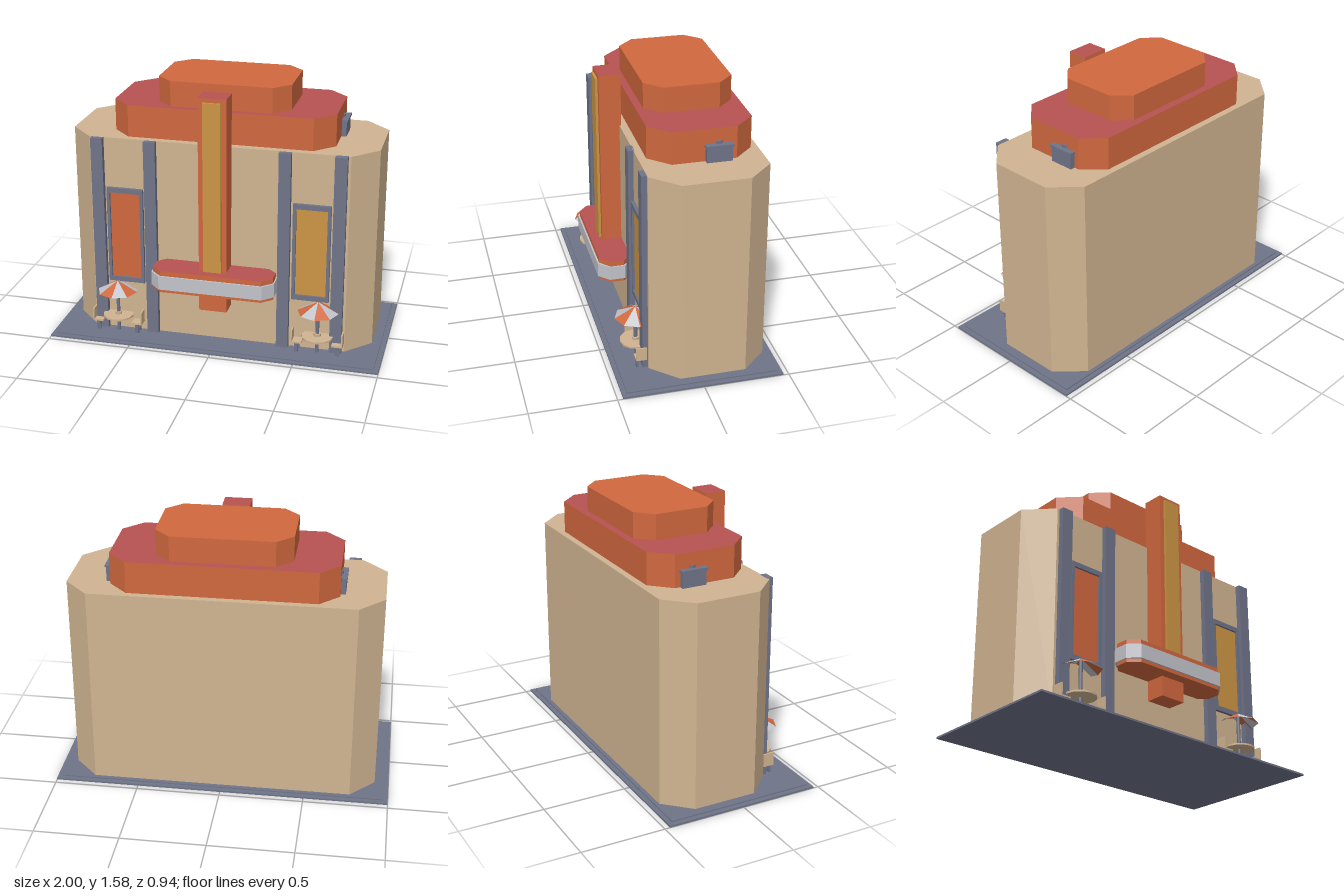
import * as THREE from 'three';

const mat = (name, color, extra = {}) => Object.assign(new THREE.MeshStandardMaterial({ color, ...extra }), { name });

export function createModel() {
  const sand = mat('sand', 0xd0b491);
  const orange = mat('orange', 0xd0683e);
  const red = mat('red', 0xb85252);
  const slate = mat('slate', 0x6f7488);
  const gold = mat('gold', 0xcb9543);
  const silver = mat('silver', 0xc2c4cb);
  const orangeCloth = mat('orange cloth', 0xd0683e, { side: THREE.DoubleSide });
  const silverCloth = mat('silver cloth', 0xc2c4cb, { side: THREE.DoubleSide });

  const root = new THREE.Group();
  root.name = 'theatre';

  const add = (parent, name, geometry, material) => {
    const mesh = new THREE.Mesh(geometry, material);
    mesh.name = name;
    parent.add(mesh);
    return mesh;
  };
  // Box given by its limits on each axis
  const box = (parent, name, [x0, x1], [y0, y1], [z0, z1], material) => {
    const mesh = add(parent, name, new THREE.BoxGeometry(x1 - x0, y1 - y0, z1 - z0), material);
    mesh.position.set((x0 + x1) / 2, (y0 + y1) / 2, (z0 + z1) / 2);
    return mesh;
  };
  const cylinder = (parent, name, rTop, rBottom, y0, y1, sides, material) => {
    const mesh = add(parent, name, new THREE.CylinderGeometry(rTop, rBottom, y1 - y0, sides), material);
    mesh.position.y = (y0 + y1) / 2;
    return mesh;
  };
  // Upright eight-sided block with cut corners; its top may have its own colour
  const block = (name, w, [z0, z1], cutX, cutZ, [y0, y1], side, top = side) => {
    const a = w - cutX, b = z0 + cutZ, c = z1 - cutZ;
    const points = [[-a, z1], [a, z1], [w, c], [w, b], [a, z0], [-a, z0], [-w, b], [-w, c]];
    const shape = new THREE.Shape(points.map(([x, z]) => new THREE.Vector2(x, -z)));
    const geometry = new THREE.ExtrudeGeometry(shape, { depth: y1 - y0, bevelEnabled: false });
    geometry.rotateX(-Math.PI / 2);
    const lids = geometry.groups[0].count;
    const total = geometry.attributes.position.count;
    geometry.clearGroups();
    geometry.addGroup(0, lids / 2, 0);
    geometry.addGroup(lids / 2, lids / 2, 1);
    geometry.addGroup(lids, total - lids, 0);
    add(root, name, geometry, [side, top]).position.y = y0;
  };

  // Pavement
  box(root, 'pavement', [-1, 1], [0, 0.011], [-0.468, 0.468], slate);
  box(root, 'pavementTop', [-0.97, 0.97], [0.011, 0.018], [-0.44, 0.44], slate);

  // Hall and stepped roof
  block('hall', 0.917, [-0.415, 0.268], 0.145, 0.15, [0.018, 1.24], sand);
  block('lowerRoof', 0.66, [-0.375, 0.222], 0.113, 0.115, [1.24, 1.43], orange, red);
  block('upperRoof', 0.394, [-0.33, 0.18], 0.094, 0.093, [1.43, 1.58], orange);

  // Central sign tower
  box(root, 'signTower', [-0.083, 0.083], [0.25, 1.555], [0.258, 0.385],
    [orange, orange, red, orange, orange, orange]);
  box(root, 'signPanel', [-0.053, 0.053], [0.45, 1.53], [0.38, 0.4], gold);

  // Canopy over the entrance
  block('canopy', 0.362, [0.26, 0.45], 0.06, 0.055, [0.37, 0.505], orange, red);
  block('canopyBand', 0.37, [0.25, 0.46], 0.06, 0.06, [0.39, 0.475], silver);

  for (const s of [-1, 1]) {
    const side = s < 0 ? 'right' : 'left';
    const span = (a, b) => (s > 0 ? [a, b] : [-b, -a]);

    // Full-height pilasters
    box(root, side + 'InnerPilaster', span(0.365, 0.436), [0.018, 1.24], [0.26, 0.3], slate);
    box(root, side + 'OuterPilaster', span(0.685, 0.757), [0.018, 1.24], [0.26, 0.3], slate);

    // Poster with raised frame
    const poster = new THREE.Group();
    poster.name = side + 'Poster';
    root.add(poster);
    box(poster, 'posterPanel', span(0.465, 0.657), [0.36, 0.91], [0.266, 0.275], s < 0 ? orange : gold);
    box(poster, 'frameTop', span(0.45, 0.672), [0.905, 0.935], [0.26, 0.288], slate);
    box(poster, 'frameBottom', span(0.45, 0.672), [0.335, 0.365], [0.26, 0.288], slate);
    box(poster, 'frameInnerSide', span(0.45, 0.47), [0.365, 0.905], [0.26, 0.288], slate);
    box(poster, 'frameOuterSide', span(0.653, 0.672), [0.365, 0.905], [0.26, 0.288], slate);

    // Rooftop ventilation unit
    const vent = new THREE.Group();
    vent.name = side + 'RoofVent';
    vent.position.set(s * 0.642, 0, -0.155);
    root.add(vent);
    box(vent, 'ventBody', [-0.047, 0.047], [1.24, 1.328], [-0.073, 0.073], slate);
    box(vent, 'ventCap', [-0.053, 0.053], [1.328, 1.34], [-0.08, 0.08], slate);
    cylinder(vent, 'ventFan', 0.028, 0.028, 1.34, 1.356, 12, slate);

    // Cafe table
    const cafe = new THREE.Group();
    cafe.name = side + 'CafeTable';
    cafe.position.set(s * 0.615, 0, 0.308);
    root.add(cafe);
    cylinder(cafe, 'umbrellaPole', 0.011, 0.011, 0.018, 0.34, 8, slate);
    cylinder(cafe, 'tableTop', 0.093, 0.093, 0.115, 0.126, 12, sand);
    cylinder(cafe, 'poleCollar', 0.022, 0.022, 0.126, 0.142, 8, sand);

    // Umbrella panels in alternating colours
    for (let i = 0; i < 8; i++) {
      const panel = new THREE.ConeGeometry(0.122, 0.065, 1, 1, true, i * Math.PI / 4, Math.PI / 4).toNonIndexed();
      panel.computeVertexNormals();
      const isOrange = (i % 2 === 0) === (s < 0);
      add(cafe, 'umbrellaPanel', panel, isOrange ? silverCloth : orangeCloth).position.y = 0.313;
    }

    // Two chairs facing the table
    for (const d of [-1, 1]) {
      const chair = new THREE.Group();
      chair.name = 'chair';
      chair.position.x = d * 0.12;
      chair.rotation.y = d > 0 ? 0 : Math.PI;
      cafe.add(chair);
      box(chair, 'seat', [-0.03, 0.035], [0.075, 0.086], [-0.032, 0.032], sand);
      box(chair, 'backrest', [0.026, 0.035], [0.086, 0.155], [-0.032, 0.032], sand);
      for (const z of [-0.02, 0.02]) {
        box(chair, 'chairLeg', [-0.01, 0.013], [0.018, 0.075], [z - 0.007, z + 0.007], slate);
      }
    }
  }
  return root;
}
